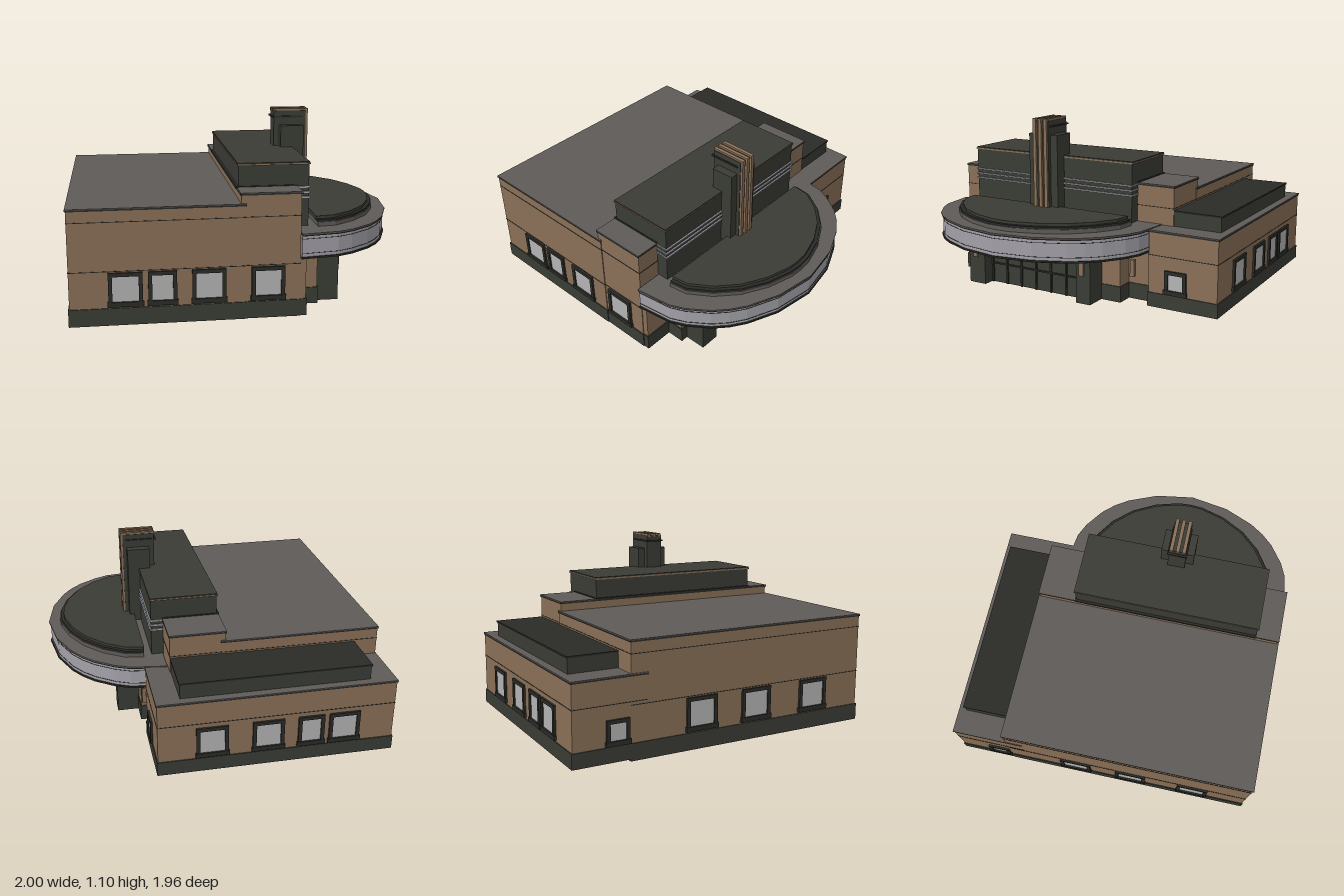
import * as THREE from 'three';

const paint = (name, color) => Object.assign(new THREE.MeshStandardMaterial({ color }), { name });

export function createModel() {
  const brown = paint('brick brown', 0x8a7057);
  const dark = paint('dark stone', 0x3a3c35);
  const grey = paint('roof grey', 0x5f5b58);
  const light = paint('marquee silver', 0xa3a1a8);
  const glass = paint('window glass', 0xb4b4b4);
  const line = paint('dark trim', 0x2a2b27);
  const model = new THREE.Group();
  model.name = 'theatre';

  // box given by its limits on each axis
  function box(name, mat, x0, x1, y0, y1, z0, z1, parent = model) {
    const m = new THREE.Mesh(new THREE.BoxGeometry(x1 - x0, y1 - y0, z1 - z0), mat);
    m.position.set((x0 + x1) / 2, (y0 + y1) / 2, (z0 + z1) / 2);
    m.name = name;
    parent.add(m);
    return m;
  }

  // walled volume: brown walls, dark plinth, thin courses and a roof cap
  function block(name, x0, x1, z0, z1, top, courses = [], base = 0) {
    const g = new THREE.Group();
    g.name = name;
    model.add(g);
    box('walls', brown, x0, x1, base + 0.01, top - 0.01, z0, z1, g);
    box('plinth', dark, x0 - 0.006, x1 + 0.006, base, 0.1, z0 - 0.006, z1 + 0.006, g);
    for (const y of courses) box('course', line, x0 - 0.002, x1 + 0.002, y, y + 0.004, z0 - 0.002, z1 + 0.002, g);
    box('cornice', line, x0 - 0.005, x1 + 0.005, top - 0.014, top - 0.005, z0 - 0.005, z1 + 0.005, g);
    box('roof', grey, x0 - 0.005, x1 + 0.005, top - 0.005, top, z0 - 0.005, z1 + 0.005, g);
  }
  block('mainHall', -0.98, 0, -0.62, 0.96, 0.67, [0.31, 0.59]);
  block('raisedBay', -0.025, 0.315, -0.615, 0.955, 0.73, [0.31, 0.59]);
  block('sideWing', -0.98, 0.45, -0.965, -0.52, 0.485, [0.33], 0.012);
  box('wingRoofBox', dark, -0.83, 0.31, 0.48, 0.575, -0.92, -0.61);
  box('wingRoofBoxLip', line, -0.835, 0.315, 0.572, 0.582, -0.925, -0.605);

  // dark upper storey with a thin brown edge and banded front
  box('upperStorey', dark, -0.02, 0.39, 0.3, 0.86, -0.37, 0.805);
  box('upperEdge', brown, -0.026, 0.395, 0.852, 0.86, -0.378, 0.812);
  box('upperCap', dark, -0.024, 0.393, 0.859, 0.867, -0.375, 0.809);
  box('upperFoot', line, -0.035, 0.32, 0.72, 0.735, -0.378, 0.812);
  for (const y of [0.655, 0.685, 0.715]) box('frontBand', light, 0.3, 0.399, y, y + 0.009, -0.376, 0.811);

  // pylon: low shoulders, tall fin, brown strips over the top and front
  const pylon = new THREE.Group();
  pylon.name = 'pylon';
  model.add(pylon);
  box('shoulders', dark, 0.32, 0.465, 0.5, 1.0, 0.115, 0.325, pylon);
  box('fin', dark, 0.285, 0.488, 0.5, 1.088, 0.165, 0.275, pylon);
  box('finLedge', line, 0.272, 0.47, 1.046, 1.056, 0.158, 0.282, pylon);
  for (const z of [0.18, 0.22, 0.26]) {
    box('stripTop', brown, 0.28, 0.502, 1.08, 1.1, z - 0.011, z + 0.011, pylon);
    box('stripFront', brown, 0.48, 0.502, 0.53, 1.1, z - 0.011, z + 0.011, pylon);
  }

  // half-round slab mirrored about z = 0.22; points are [x, half depth]
  function slab(name, mat, pts, y0, y1, s = 1) {
    const put = ([x, d], side) => new THREE.Vector2(0.32 + (x - 0.32) * s, -0.22 + side * d * s);
    const outline = [...pts.map(p => put(p, -1)), ...pts.slice(0, -1).reverse().map(p => put(p, 1))];
    const geo = new THREE.ExtrudeGeometry(new THREE.Shape(outline), { depth: y1 - y0, bevelEnabled: false });
    const m = new THREE.Mesh(geo.rotateX(-Math.PI / 2), mat);
    m.position.y = y0;
    m.name = name;
    model.add(m);
  }
  const canopy = [[0.32, 0.76], [0.54, 0.73], [0.63, 0.69], [0.75, 0.605], [0.82, 0.53], [0.88, 0.44], [0.96, 0.25], [1.0, 0]];
  slab('marqueeSoffit', dark, canopy, 0.335, 0.35, 0.97);
  slab('marqueeLowerRim', line, canopy, 0.342, 0.352, 0.997);
  slab('marqueeBand', light, canopy, 0.35, 0.48, 0.985);
  for (const y of [0.37, 0.455]) slab('marqueeLine', line, canopy, y, y + 0.003, 0.988);
  slab('marqueeUpperRim', line, canopy, 0.475, 0.483, 0.997);
  slab('marqueeRoof', grey, canopy, 0.483, 0.49);
  const disc = [[0.44, 0.61], [0.55, 0.595], [0.68, 0.51], [0.79, 0.39], [0.87, 0.24], [0.915, 0.08], [0.92, 0]];
  slab('roofDiscBase', grey, disc, 0.488, 0.515, 1.01);
  slab('roofDiscEdge', line, disc, 0.515, 0.528);
  slab('roofDisc', dark, disc, 0.52, 0.545, 0.965);

  // stepped entrance under the marquee
  const entry = new THREE.Group();
  entry.name = 'entrance';
  model.add(entry);
  for (const [x, z0, z1] of [[0.35, -0.52, 0.95], [0.46, -0.33, 0.77]]) {
    box('entryWall', brown, 0.3, x, 0.01, 0.34, z0, z1, entry);
    box('entryPlinth', dark, 0.3, x + 0.006, 0, 0.1, z0 - 0.006, z1 + 0.006, entry);
  }
  for (const [z0, z1] of [[0.605, 0.73], [-0.2, -0.1]]) box('column', dark, 0.4, 0.6, 0, 0.34, z0, z1, entry);
  box('doorWall', dark, 0.4, 0.52, 0, 0.27, -0.1, 0.605, entry);
  box('transom', grey, 0.4, 0.54, 0.265, 0.315, -0.1, 0.605, entry);
  box('transomTrim', brown, 0.4, 0.55, 0.315, 0.327, -0.1, 0.605, entry);
  for (let i = 0; i <= 6; i++) {
    const z = -0.095 + i * 0.115;
    box('doorPost', line, 0.51, 0.53, 0, 0.265, z - 0.006, z + 0.006, entry);
  }
  box('doorRail', line, 0.51, 0.528, 0.125, 0.135, -0.1, 0.605, entry);
  for (const [x, z] of [[0.6, 0.67], [0.6, -0.145], [0.45, -0.415]])
    box('wallLamp', brown, x - 0.01, x + 0.015, 0.18, 0.285, z - 0.015, z + 0.015, entry);

  // framed window facing outward, turned about y
  function windowAt(x, z, turn, w, y0, y1) {
    const g = new THREE.Group();
    g.name = 'window';
    g.position.set(x, 0, z);
    g.rotation.y = turn;
    model.add(g);
    const h = w / 2, t = 0.022;
    box('pane', glass, -h + t, h - t, y0 + t, y1 - t, -0.004, 0.004, g);
    for (const s of [-1, 1]) box('jamb', line, s * (h - t / 2) - t / 2, s * (h - t / 2) + t / 2, y0, y1, -0.004, 0.012, g);
    box('sill', line, -h - 0.006, h + 0.006, y0 - 0.006, y0 + t, -0.004, 0.015, g);
    box('lintel', line, -h, h, y1 - t, y1, -0.004, 0.012, g);
  }
  for (const [x, w] of [[-0.67, 0.19], [-0.465, 0.16], [-0.205, 0.19], [0.13, 0.19]]) {
    windowAt(x, 0.961, 0, w, 0.115, 0.305);
    windowAt(x, -0.966, Math.PI, w, 0.115, 0.305);
  }
  for (const z of [-0.175, 0.195, 0.61]) windowAt(-0.981, z, -Math.PI / 2, 0.2, 0.115, 0.305);
  windowAt(-0.981, -0.7, -Math.PI / 2, 0.14, 0.11, 0.25);
  windowAt(0.451, -0.7, Math.PI / 2, 0.14, 0.11, 0.25);
  return model;
}
